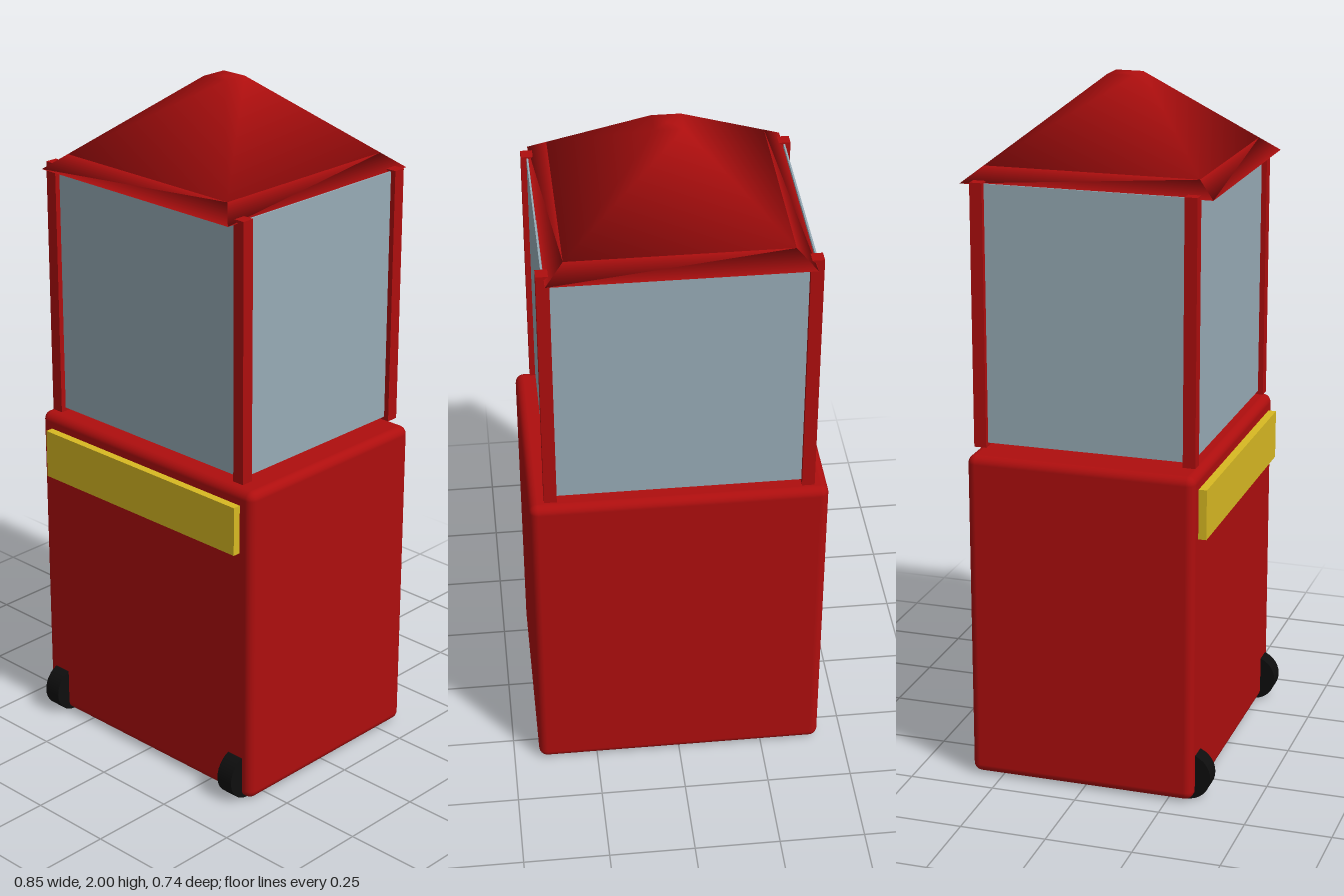
import * as THREE from 'three';
import { mergeVertices } from 'three/addons/utils/BufferGeometryUtils.js';
import { RoundedBoxGeometry } from 'three/addons/geometries/RoundedBoxGeometry.js';

const paint = (name, color) => {
  const m = new THREE.MeshStandardMaterial({ color });
  m.name = name;
  return m;
};

// Square frustum with shared vertices, so its shading is smooth
function smoothFrustum(topHalf, bottomHalf, y0, y1) {
  const g = new THREE.CylinderGeometry(topHalf * Math.SQRT2, bottomHalf * Math.SQRT2, y1 - y0, 4);
  g.rotateY(Math.PI / 4);
  g.translate(0, (y0 + y1) / 2, 0);
  g.deleteAttribute('normal');
  g.deleteAttribute('uv');
  const merged = mergeVertices(g, 1e-4);
  merged.computeVertexNormals();
  return merged;
}

export function createModel() {
  const red = paint('red paint', 0xae0e0e);
  const yellow = paint('yellow paint', 0xd8b922);
  const glass = paint('grey blue glass', 0x97abb6);
  const black = paint('black rubber', 0x0e0e0e);

  const model = new THREE.Group();
  model.name = 'vendingCart';
  const add = (name, geometry, material, x, y, z) => {
    const mesh = new THREE.Mesh(geometry, material);
    mesh.name = name;
    mesh.position.set(x, y, z);
    model.add(mesh);
    return mesh;
  };
  const cz = -0.008; // depth centre of the cabinet and canopy

  // Cabinet with softened edges and a front sign plate
  add('cabinet', new RoundedBoxGeometry(0.85, 0.97, 0.665, 3, 0.025), red, 0, 0.49, cz);
  add('signPlate', new THREE.BoxGeometry(0.76, 0.145, 0.03), yellow, 0, 0.858, 0.333);

  // Glass case: four corner posts, panes between them
  for (const s of [-1, 1]) {
    const side = s > 0 ? 'left' : 'right';
    for (const f of [-1, 1]) {
      add(`${side}${f > 0 ? 'Front' : 'Back'}Post`,
        new THREE.BoxGeometry(0.036, 0.755, 0.036), red, s * 0.364, 1.367, cz + f * 0.305);
    }
    add(`${side}Pane`, new THREE.BoxGeometry(0.005, 0.74, 0.6), glass, s * 0.364, 1.37, cz);
    add(s > 0 ? 'frontPane' : 'backPane',
      new THREE.BoxGeometry(0.72, 0.74, 0.005), glass, 0, 1.37, cz + s * 0.305);

    // Front wheels, partly sunk in the cabinet
    const wheel = new THREE.CylinderGeometry(0.07, 0.07, 0.054, 32);
    wheel.rotateZ(Math.PI / 2);
    add(`${side}Wheel`, wheel, black, s * 0.365, 0.07, 0.3);
  }

  // Pyramid roof with its eave band
  add('roof', smoothFrustum(0.04, 0.308, 1.778, 2), red, 0, 0, cz);
  add('eave', smoothFrustum(0.308, 0.36, 1.735, 1.778), red, 0, 0, cz);

  return model;
}
